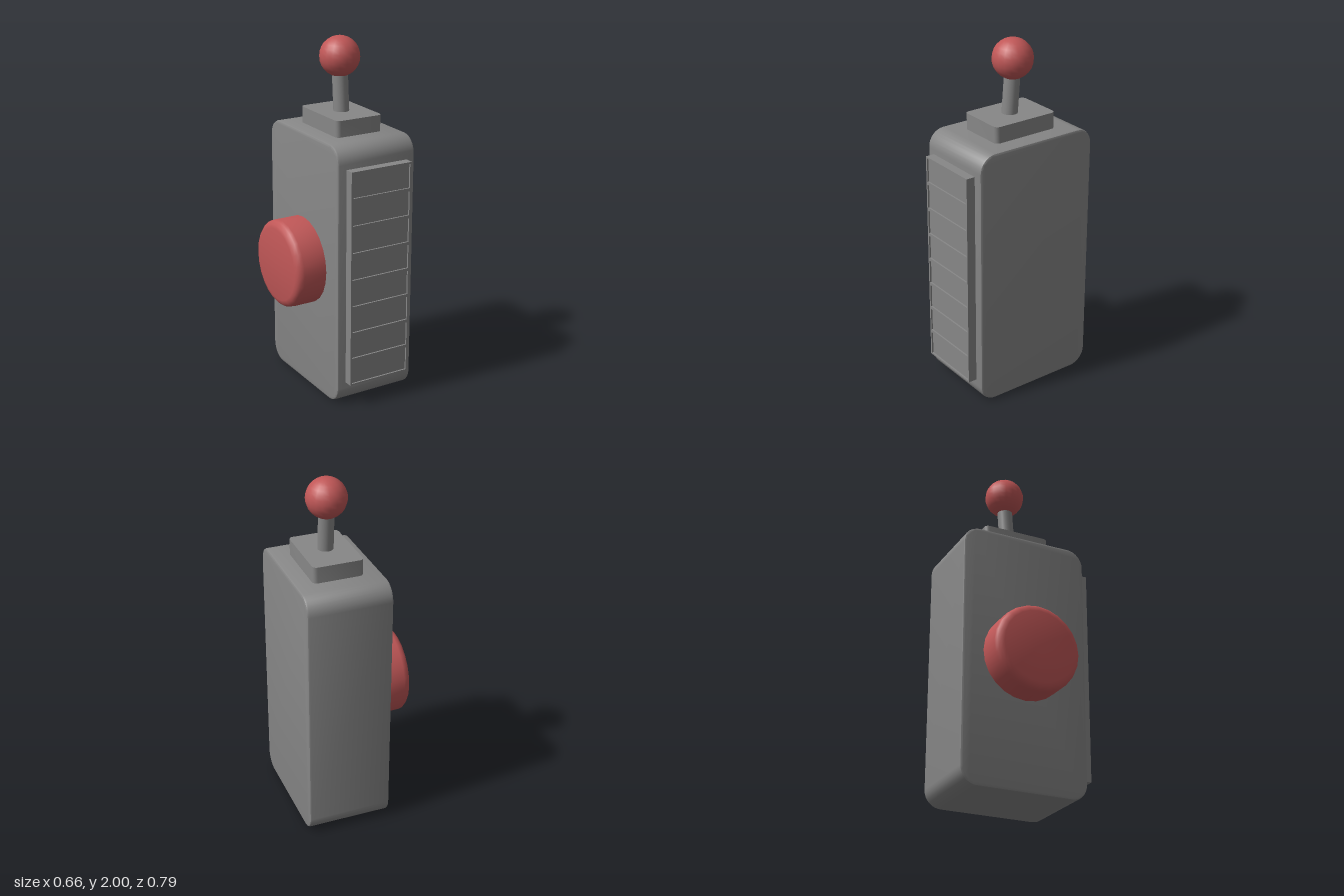
import * as THREE from 'three';
import { toCreasedNormals } from 'three/addons/utils/BufferGeometryUtils.js';

const CX = 0.088; // middle of the housing
const CZ = -0.027;

// Rectangle with rounded corners, centred on the origin
function roundedRect(w, h, r) {
  const s = new THREE.Shape();
  const x = w / 2 - r, y = h / 2 - r;
  s.absarc(x, y, r, 0, Math.PI / 2);
  s.absarc(-x, y, r, Math.PI / 2, Math.PI);
  s.absarc(-x, -y, r, Math.PI, Math.PI * 1.5);
  s.absarc(x, -y, r, Math.PI * 1.5, Math.PI * 2);
  s.closePath();
  return s;
}

export function createModel() {
  const group = new THREE.Group();
  const grey = new THREE.MeshStandardMaterial({ color: 0x878787 });
  const red = new THREE.MeshStandardMaterial({ color: 0xc05757 });

  const add = (name, geometry, material, x, y, z) => {
    const mesh = new THREE.Mesh(geometry, material);
    mesh.name = name;
    mesh.position.set(x, y, z);
    group.add(mesh);
    return mesh;
  };

  // Housing: rounded side profile extruded across x with a fine bevel
  const bevel = 0.012, width = 0.482;
  const housing = new THREE.ExtrudeGeometry(
    roundedRect(0.743 - 2 * bevel, 1.495 - 2 * bevel, 0.085),
    { depth: width - 2 * bevel, bevelThickness: bevel, bevelSize: bevel, bevelSegments: 2, curveSegments: 4 }
  );
  housing.translate(0, 0, -(width / 2 - bevel)).rotateY(Math.PI / 2);
  add('housing', toCreasedNormals(housing, 0.6), grey, CX, 0.7475, CZ);

  // Front panel: a frame with eight recessed windows
  const panelW = 0.378, panelH = 1.241, rows = 8, pitch = 0.155;
  const winW = 0.358, winH = 0.137;
  const frame = new THREE.Shape();
  frame.moveTo(-panelW / 2, -panelH / 2).lineTo(panelW / 2, -panelH / 2)
    .lineTo(panelW / 2, panelH / 2).lineTo(-panelW / 2, panelH / 2).closePath();
  for (let i = 0; i < rows; i++) {
    const y = (i - (rows - 1) / 2) * pitch;
    const hole = new THREE.Path();
    hole.moveTo(-winW / 2, y - winH / 2).lineTo(-winW / 2, y + winH / 2)
      .lineTo(winW / 2, y + winH / 2).lineTo(winW / 2, y - winH / 2).closePath();
    frame.holes.push(hole);
    add('window' + (i + 1), new THREE.BoxGeometry(winW, winH, 0.055), grey, CX, 0.751 + y, 0.359);
  }
  add('panelFrame', new THREE.ExtrudeGeometry(frame, { depth: 0.06, bevelEnabled: false }),
    grey, CX, 0.751, 0.336);

  // Lever base on the top
  const base = new THREE.ExtrudeGeometry(roundedRect(0.285, 0.395, 0.025),
    { depth: 0.1, bevelEnabled: false, curveSegments: 2 });
  base.rotateX(-Math.PI / 2);
  add('leverBase', toCreasedNormals(base, 0.6), grey, CX, 1.487, CZ);

  // Lever: slightly tilted rod with a ball knob
  const rod = add('leverRod', new THREE.CylinderGeometry(0.044, 0.044, 0.32, 18), grey, CX, 1.73, -0.034);
  rod.rotation.x = -0.075;
  add('leverKnob', new THREE.SphereGeometry(0.113, 18, 14), red, CX, 1.887, -0.042);

  // Round push button on the side, with a rounded rim
  const r = 0.249, rim = 0.042, height = 0.2;
  const profile = [new THREE.Vector2(r, 0)];
  for (let i = 0; i <= 3; i++) {
    const a = (i / 3) * Math.PI / 2;
    profile.push(new THREE.Vector2(r - rim + rim * Math.cos(a), height - rim + rim * Math.sin(a)));
  }
  profile.push(new THREE.Vector2(0, height));
  const button = new THREE.LatheGeometry(profile, 24);
  button.rotateZ(Math.PI / 2);
  add('sideButton', toCreasedNormals(button, 0.6), red, -0.129, 0.758, CZ);

  return group;
}
